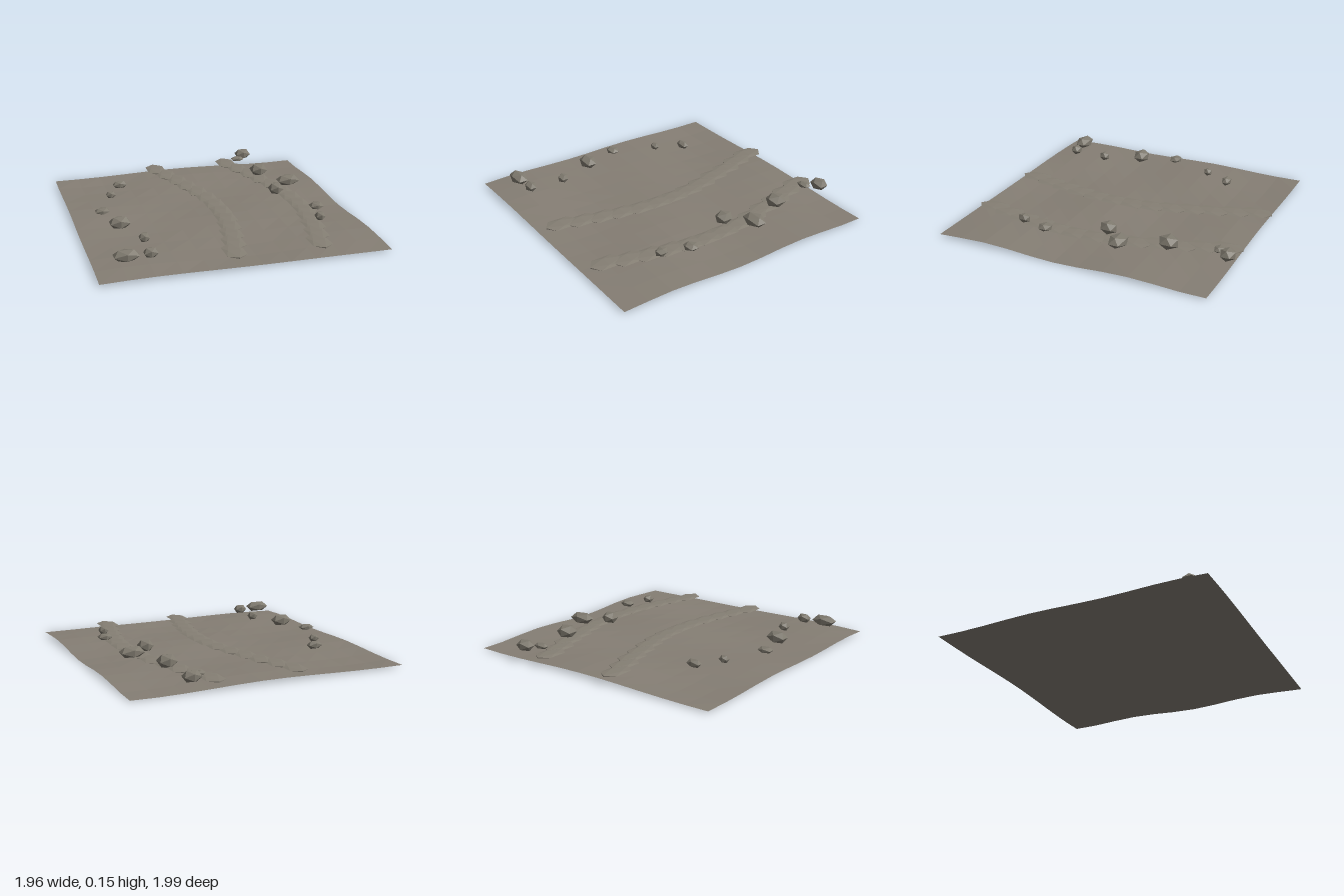
import * as THREE from 'three';

const flat = (name, color, side = THREE.FrontSide) => {
  const m = new THREE.MeshStandardMaterial({ color, flatShading: true, side });
  m.name = name;
  return m;
};

export function createModel() {
  const group = new THREE.Group();
  group.name = 'rockyGround';
  const groundMat = flat('groundGrey', 0x857e74, THREE.DoubleSide);
  const trackMat = flat('trackGrey', 0x857f74);
  const rockMat = flat('rockGrey', 0x7e796e);

  // Gently rippled low-poly ground sheet
  const sheet = new THREE.PlaneGeometry(1.96, 1.963, 11, 11);
  sheet.rotateX(-Math.PI / 2);
  const p = sheet.attributes.position;
  for (let i = 0; i < p.count; i++) {
    const x = p.getX(i), z = p.getZ(i);
    const y = 0.02 + 0.009 * Math.sin(x * 4.6 + z * 2.1) * Math.cos(z * 4.3)
      + 0.007 * Math.sin(z * 6.1 - x * 3.2 + 0.8);
    p.setY(i, Math.max(0, y));
  }
  const ground = new THREE.Mesh(sheet, groundMat);
  ground.name = 'ground';
  ground.position.z = 0.0135;
  group.add(ground);

  // Stones are stretched icosahedra; sizes are half extents
  const stone = new THREE.IcosahedronGeometry(1, 0);
  const addStone = (parent, name, mat, pos, half) => {
    const mesh = new THREE.Mesh(stone, mat);
    mesh.name = name;
    mesh.position.set(...pos);
    mesh.scale.set(...half.map((h) => h / 0.851));
    parent.add(mesh);
  };

  // Two parallel curved tracks of overlapping flat stones
  const bend = [-0.185, -0.135, -0.082, -0.044, 0, 0.033, 0.05, 0.055, 0.05, 0.03, 0.003, -0.03, -0.07];
  [['rightTrack', 0], ['leftTrack', 0.59]].forEach(([name, offset]) => {
    const track = new THREE.Group();
    track.name = name;
    bend.forEach((x, i) => addStone(track, 'trackStone', trackMat,
      [x + offset, 0.067, -0.88 + i * 0.1433], [0.069, 0.007, 0.12]));
    group.add(track);
  });

  // Loose rocks along both sides: x, y, z, then half width, height, depth
  const rocks = [
    [0.57, 0.112, -0.95, 0.058, 0.037, 0.05],
    [0.50, 0.1, -0.868, 0.05, 0.018, 0.034],
    [0.57, 0.11, -0.538, 0.061, 0.043, 0.066],
    [0.703, 0.113, -0.236, 0.082, 0.037, 0.058],
    [0.552, 0.11, -0.088, 0.05, 0.04, 0.058],
    [0.716, 0.102, 0.31, 0.048, 0.023, 0.045],
    [0.663, 0.104, 0.508, 0.032, 0.028, 0.042],
    [-0.549, 0.1, -0.522, 0.05, 0.027, 0.032],
    [-0.655, 0.098, -0.329, 0.032, 0.025, 0.029],
    [-0.775, 0.102, -0.01, 0.05, 0.02, 0.042],
    [-0.703, 0.11, 0.257, 0.069, 0.04, 0.053],
    [-0.594, 0.1, 0.533, 0.034, 0.03, 0.037],
    [-0.772, 0.111, 0.81, 0.082, 0.037, 0.053],
    [-0.61, 0.104, 0.795, 0.045, 0.032, 0.037],
  ];
  const loose = new THREE.Group();
  loose.name = 'looseRocks';
  rocks.forEach((r) => addStone(loose, 'rock', rockMat, r.slice(0, 3), r.slice(3)));
  group.add(loose);

  return group;
}
